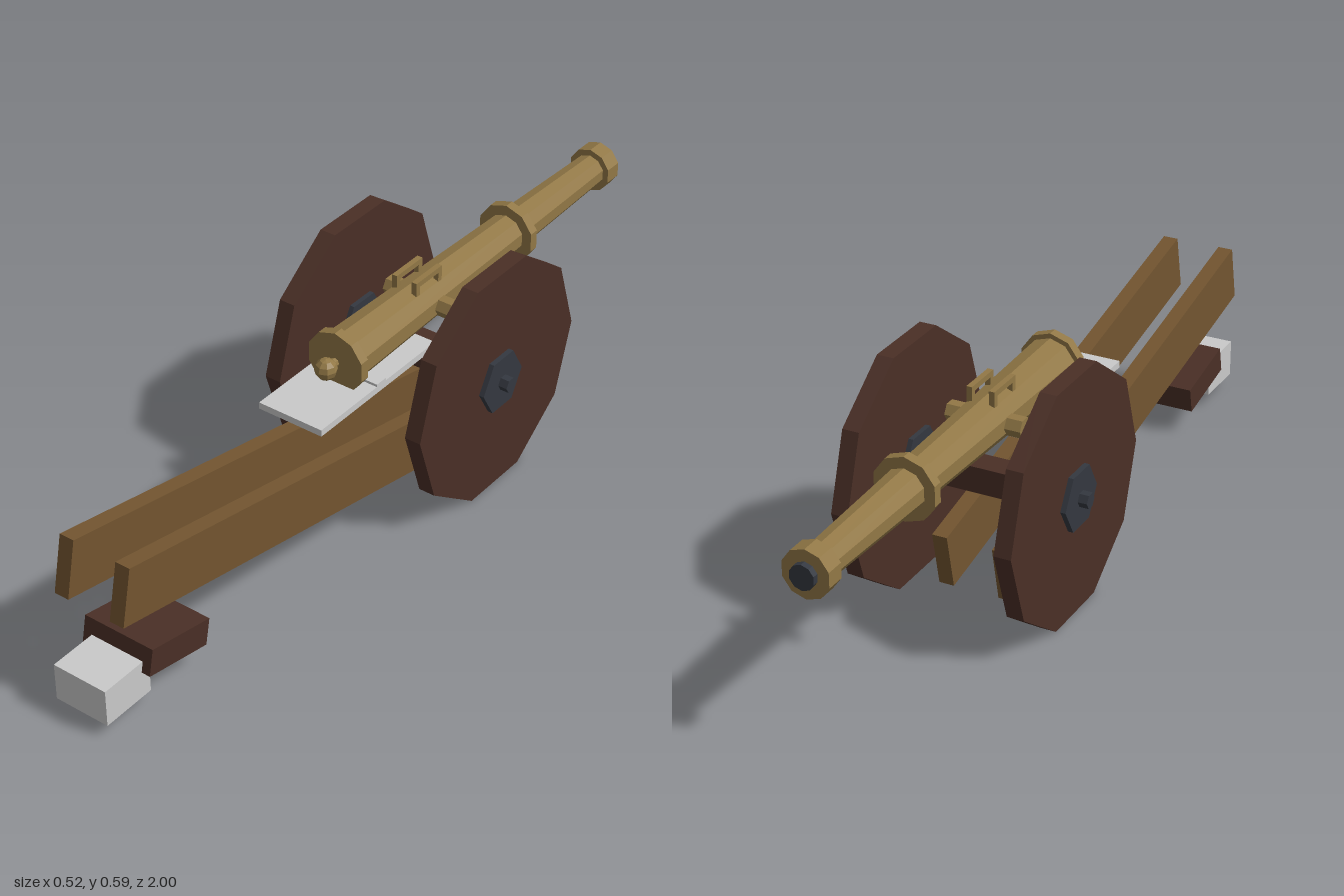
import * as THREE from 'three';

const mat = (name, color) => new THREE.MeshStandardMaterial({ name, color, flatShading: true });

export function createModel() {
  const model = new THREE.Group();
  model.name = 'fieldCannon';
  const brass = mat('brass', 0x927846);
  const oak = mat('oak', 0x735530);
  const darkWood = mat('darkWood', 0x4a2f26);
  const iron = mat('iron', 0x343840);
  const pale = mat('paleMetal', 0xcacaca);

  const add = (name, geometry, material, x, y, z) => {
    const mesh = new THREE.Mesh(geometry, material);
    mesh.name = name;
    mesh.position.set(x, y, z);
    model.add(mesh);
    return mesh;
  };
  const box = (name, size, material, x, y, z, tilt = 0) => {
    const mesh = add(name, new THREE.BoxGeometry(...size), material, x, y, z);
    mesh.rotation.x = tilt;
    return mesh;
  };
  // Cylinder lying along x
  const crossCylinder = (name, r, length, sides, material, x, y, z) =>
    add(name, new THREE.CylinderGeometry(r, r, length, sides).rotateZ(Math.PI / 2), material, x, y, z);

  const axleY = 0.296, axleZ = -0.22, boreY = 0.442, slope = -0.207;

  // Barrel: profile of [radius, distance towards the muzzle]
  const profile = [
    [0, -0.113], [0.078, -0.113], [0.078, -0.088], [0.066, -0.088],
    [0.051, 0.565], [0.078, 0.565], [0.078, 0.59], [0.051, 0.59],
    [0.042, 0.938], [0.058, 0.938], [0.058, 0.985], [0, 0.985],
  ].map(([r, d]) => new THREE.Vector2(r, d));
  add('barrel', new THREE.LatheGeometry(profile, 10).rotateX(-Math.PI / 2), brass, 0, boreY, 0);
  add('bore', new THREE.CylinderGeometry(0.03, 0.03, 0.025, 10).rotateX(Math.PI / 2), iron, 0, boreY, -0.9875);

  // Knob behind the breech
  add('breechNeck', new THREE.CylinderGeometry(0.012, 0.012, 0.03, 8).rotateX(Math.PI / 2), brass, 0, boreY, 0.122);
  add('breechKnob', new THREE.SphereGeometry(0.027, 8, 6), brass, 0, boreY, 0.146);

  // Trunnions and axle
  crossCylinder('trunnions', 0.025, 0.19, 6, brass, 0, 0.44, axleZ);
  box('axle', [0.35, 0.065, 0.065], darkWood, 0, axleY + 0.002, axleZ);

  // Paired parts
  for (const side of [-1, 1]) {
    crossCylinder('wheel', 0.31, 0.042, 10, darkWood, side * 0.201, axleY, axleZ);
    crossCylinder('hub', 0.078, 0.067, 6, iron, side * 0.2015, axleY + 0.002, axleZ);
    crossCylinder('axlePin', 0.019, 0.05, 6, iron, side * 0.233, axleY + 0.002, axleZ);
    box('trailRail', [0.038, 0.143, 1.262], oak, side * 0.0765, 0.225, 0.323, slope);
    // Lifting handle: two posts and a bar
    box('handleBar', [0.014, 0.014, 0.1], brass, side * 0.028, 0.52, -0.2);
    for (const z of [-0.243, -0.157]) {
      box('handlePost', [0.014, 0.04, 0.014], brass, side * 0.028, 0.5, z);
    }
  }

  // Bed plate below the breech
  box('bedPlate', [0.176, 0.017, 0.43], pale, 0, 0.379, 0.063);
  box('bedBar', [0.176, 0.022, 0.035], pale, 0, 0.383, 0.055);

  // Tail block and counterweight
  box('tailBlock', [0.19, 0.067, 0.189], darkWood, 0, 0.115, 0.786, slope);
  box('counterweight', [0.144, 0.095, 0.14], pale, 0, 0.081, 0.93);
  return model;
}
